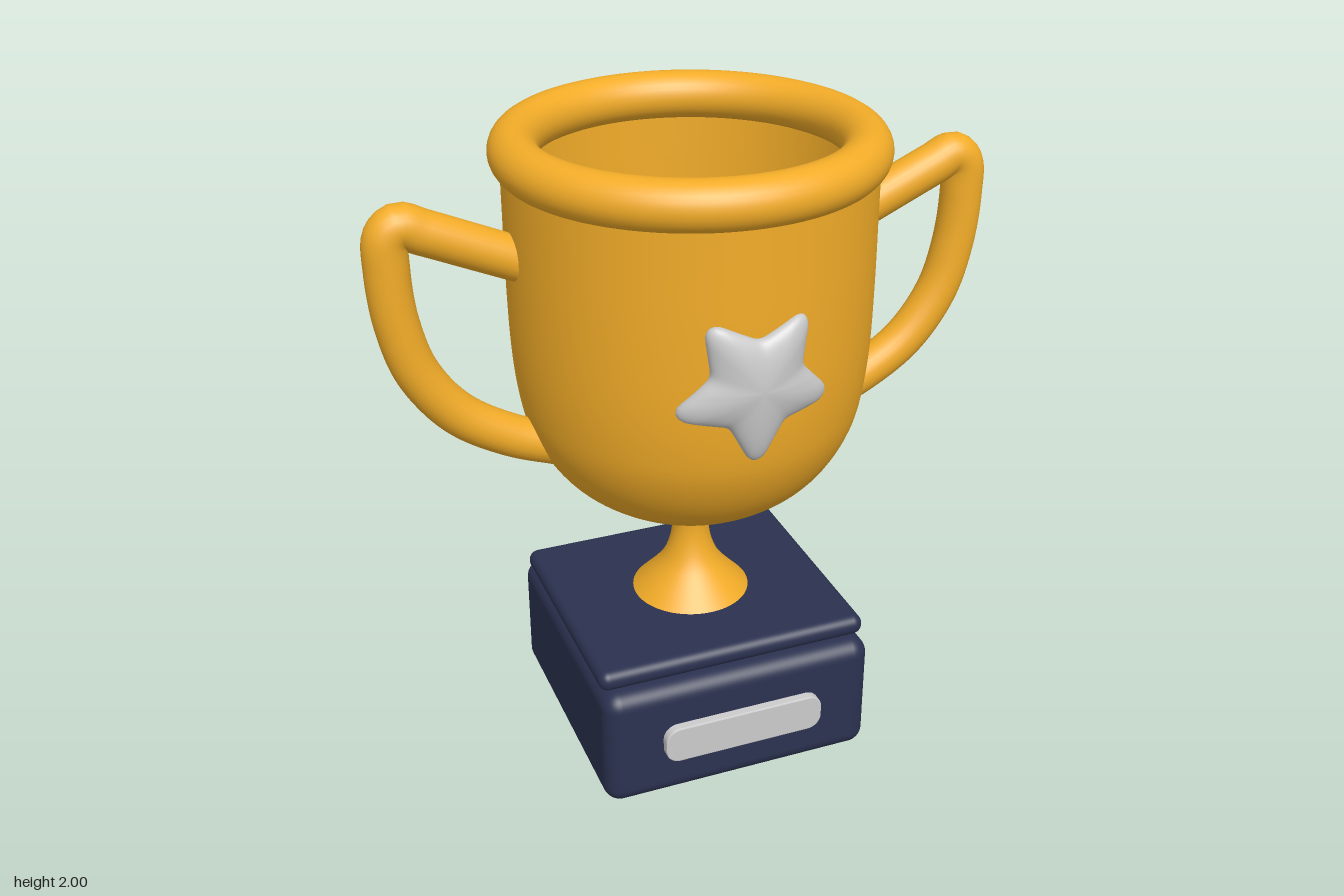
import * as THREE from 'three';
import { RoundedBoxGeometry } from 'three/addons/geometries/RoundedBoxGeometry.js';
import { mergeVertices } from 'three/addons/utils/BufferGeometryUtils.js';

const gold = new THREE.MeshStandardMaterial({ color: 0xf2ac28 });
const goldThin = new THREE.MeshStandardMaterial({ color: 0xf2ac28, side: THREE.DoubleSide });
const navy = new THREE.MeshStandardMaterial({ color: 0x2b3250 });
const silver = new THREE.MeshStandardMaterial({ color: 0xcccccc });

function add(parent, name, geometry, material, x = 0, y = 0, z = 0) {
  const mesh = new THREE.Mesh(geometry, material);
  mesh.name = name;
  mesh.position.set(x, y, z);
  parent.add(mesh);
  return mesh;
}

// Thin open bowl and flared hollow stem in one turned profile
function bowlGeometry() {
  const points = [
    [0.19, 0.455], [0.12, 0.53], [0.085, 0.58], [0.064, 0.64], [0.058, 0.7], [0.068, 0.75],
    [0.12, 0.778], [0.2, 0.805], [0.3, 0.855], [0.39, 0.925], [0.455, 1.01], [0.5, 1.11],
    [0.522, 1.22], [0.534, 1.36], [0.538, 1.55], [0.538, 1.75], [0.538, 1.93],
  ].map(([r, y]) => new THREE.Vector2(r, y));
  return new THREE.LatheGeometry(new THREE.SplineCurve(points).getPoints(80), 96);
}

// Radius of a five-pointed star outline, softened by averaging over nearby angles
function starRadius(angle) {
  const outer = 0.258, inner = 0.138, step = Math.PI / 5;
  const sharp = (a) => {
    const t = Math.abs(THREE.MathUtils.euclideanModulo(a - Math.PI / 2 + step, 2 * step) - step);
    return outer * inner * Math.sin(step) / (outer * Math.sin(step - t) + inner * Math.sin(t));
  };
  let sum = 0;
  for (let i = -6; i <= 6; i++) sum += sharp(angle + i * 0.022);
  return sum / 13;
}

// Puffed star: a sphere squeezed to the star outline and bent around the bowl
function starGeometry() {
  const source = new THREE.SphereGeometry(1, 120, 28).rotateX(Math.PI / 2);
  source.deleteAttribute('uv');
  source.deleteAttribute('normal');
  const geometry = mergeVertices(source, 1e-4);
  const p = geometry.attributes.position;
  for (let i = 0; i < p.count; i++) {
    const x = p.getX(i), y = p.getY(i), z = p.getZ(i);
    const r = Math.hypot(x, y) * starRadius(Math.atan2(y, x));
    const a = Math.atan2(y, x);
    const sx = r * Math.cos(a), sy = r * Math.sin(a);
    const wall = Math.sqrt(0.537 ** 2 - sx * sx) - Math.max(0, -sy) * 0.08;
    const puff = Math.sign(z) * Math.abs(z) ** 0.8 * (z > 0 ? 0.046 : 0.03);
    p.setXYZ(i, sx, sy, wall + 0.004 + puff);
  }
  geometry.computeVertexNormals();
  return geometry;
}

function plateGeometry(w, h, r, depth) {
  const x = w / 2, y = h / 2;
  const shape = new THREE.Shape();
  shape.absarc(x - r, y - r, r, 0, Math.PI / 2);
  shape.absarc(-x + r, y - r, r, Math.PI / 2, Math.PI);
  shape.absarc(-x + r, -y + r, r, Math.PI, Math.PI * 1.5);
  shape.absarc(x - r, -y + r, r, Math.PI * 1.5, Math.PI * 2);
  return new THREE.ExtrudeGeometry(shape, {
    depth, curveSegments: 10, bevelThickness: 0.004, bevelSize: 0.004, bevelOffset: -0.004, bevelSegments: 2,
  });
}

// Curved handle tube with rounded ends inside the bowl
function addHandle(parent, side) {
  const handle = new THREE.Group();
  handle.name = side > 0 ? 'leftHandle' : 'rightHandle';
  const points = [
    [0.48, 1.643], [0.62, 1.705], [0.78, 1.776], [0.845, 1.803], [0.879, 1.775], [0.886, 1.68],
    [0.872, 1.52], [0.825, 1.36], [0.72, 1.215], [0.57, 1.115], [0.42, 1.055],
  ].map(([x, y]) => new THREE.Vector3(side * x, y, 0));
  const curve = new THREE.CatmullRomCurve3(points);
  add(handle, 'handleBar', new THREE.TubeGeometry(curve, 100, 0.064, 24), gold);
  for (const end of [points[0], points[points.length - 1]]) {
    add(handle, 'handleEnd', new THREE.SphereGeometry(0.064, 24, 16), gold, end.x, end.y, end.z);
  }
  handle.position.z = 0.005;
  parent.add(handle);
}

export function createModel() {
  const model = new THREE.Group();
  model.name = 'trophyCup';

  // Plinth
  add(model, 'plinth', new RoundedBoxGeometry(0.876, 0.398, 0.876, 6, 0.055), navy, 0, 0.199, 0);
  add(model, 'plinthTop', new RoundedBoxGeometry(0.872, 0.066, 0.776, 6, 0.032), navy, 0, 0.427, 0);
  add(model, 'namePlate', plateGeometry(0.516, 0.122, 0.045, 0.035), silver, 0, 0.204, 0.427);

  // Cup
  add(model, 'bowlAndStem', bowlGeometry(), goldThin);
  const rim = new THREE.TorusGeometry(0.499, 0.072, 28, 96).rotateX(Math.PI / 2);
  add(model, 'rim', rim, gold, 0, 1.928, 0);
  addHandle(model, 1);
  addHandle(model, -1);

  // Stars on both faces of the bowl
  const star = starGeometry();
  add(model, 'frontStar', star, silver, -0.014, 1.418, 0);
  add(model, 'backStar', star, silver, -0.014, 1.418, 0).rotation.y = Math.PI;

  return model;
}
